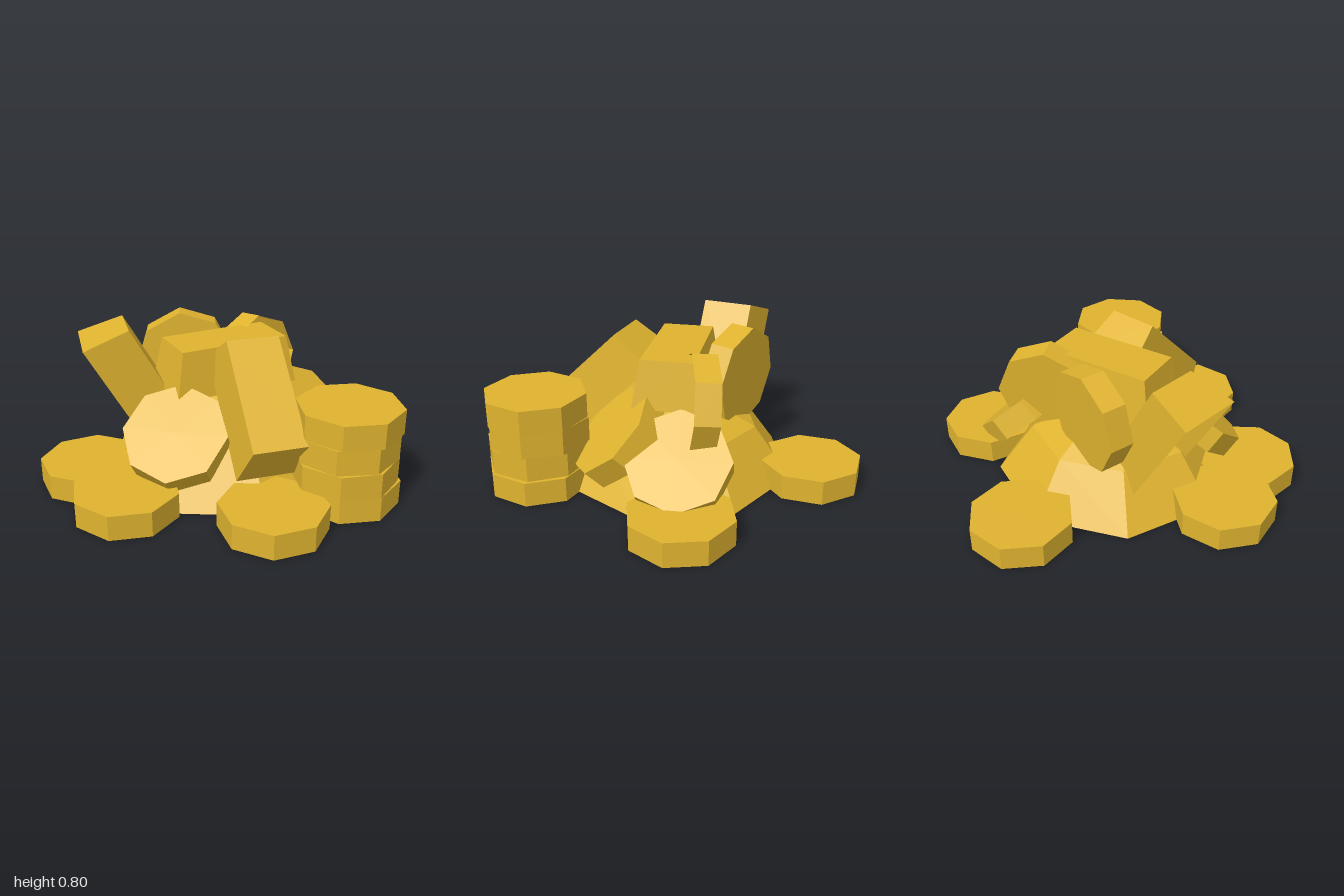
import * as THREE from 'three';

export function createModel() {
  const model = new THREE.Group();
  const gold = new THREE.MeshStandardMaterial({ color: 0xdfb32f, flatShading: true, side: THREE.DoubleSide });
  gold.name = 'gold';
  const UP = new THREE.Vector3(0, 1, 0);

  const add = (name, geometry, x, y, z) => {
    const mesh = new THREE.Mesh(geometry, gold);
    mesh.name = name;
    mesh.position.set(x, y, z);
    model.add(mesh);
    return mesh;
  };
  const lathe = (points) => new THREE.LatheGeometry(points.map(([r, y]) => new THREE.Vector2(r, y)), 8);

  // Eight-sided coin, open below; normal is the direction its face looks, spin turns it in its own plane
  const coinGeometry = lathe([[0.27, -0.065], [0.27, 0.065], [0, 0.065]]);
  const coin = (name, [x, y, z], spin, normal = [0, 1, 0]) => {
    const mesh = add(name, coinGeometry, x, y, z);
    mesh.quaternion.setFromUnitVectors(UP, new THREE.Vector3(...normal).normalize());
    mesh.rotateY(spin);
  };

  // Ingot: a box with a shrunken top face and no bottom face; its base is at y = 0
  const ingotGeometry = new THREE.BoxGeometry(0.69, 0.25, 0.35).translate(0, 0.125, 0);
  const p = ingotGeometry.attributes.position;
  for (let i = 0; i < p.count; i++) {
    if (p.getY(i) > 0.1) {
      p.setX(i, Math.sign(p.getX(i)) * 0.3);
      p.setZ(i, Math.sign(p.getZ(i)) * 0.138);
    }
  }
  ingotGeometry.setIndex(Array.from(ingotGeometry.index.array).filter((_, i) => i < 18 || i >= 24));
  ingotGeometry.clearGroups();
  ingotGeometry.computeVertexNormals();
  // along = direction of the length, top = direction of the narrow face
  const ingot = (name, [x, y, z], along, top, yaw) => {
    const a = new THREE.Vector3(...along).normalize();
    const n = new THREE.Vector3(...top).normalize();
    const mesh = add(name, ingotGeometry, x, y, z);
    mesh.quaternion.setFromRotationMatrix(new THREE.Matrix4().makeBasis(a, n, a.clone().cross(n)));
    mesh.rotateOnWorldAxis(UP, yaw);
  };

  // Faceted mound, open below
  add('mound', lathe([[0.65, 0], [0.45, 0.27], [0, 0.49]]), 0, 0, 0);

  // Loose coins lying flat around the mound
  [
    [-0.01, -0.755, Math.PI / 8], [-0.01, 0.75, Math.PI / 8], [0.72, -0.26, 0],
    [-0.73, 0, 0.486], [-0.635, 0.37, 0.236],
  ].forEach(([x, z, spin], i) => coin('flatCoin' + (i + 1), [x, 0.065, z], spin));

  // Stack of four coins
  [[0.45, 0.61, 0.19], [0.43, 0.615, 0.24], [0.435, 0.605, 0.14], [0.445, 0.61, 0.183]]
    .forEach(([x, z, spin], i) => coin('stackCoin' + (i + 1), [x, 0.065 + i * 0.13, z], spin));

  // Coins leaning on the mound
  coin('leaningCoinFrontRight', [-0.34, 0.31, 0.275], 0.25, [-0.33, 0.76, 0.55]);
  coin('leaningCoinFrontLeft', [0.385, 0.3, 0.18], Math.PI / 8, [0.37, 0.71, 0.6]);
  coin('leaningCoinSide', [0.5, 0.25, -0.18], 0.2, [0.66, 0.74, -0.12]);

  // Coins standing on edge at the back, faces outward
  coin('uprightCoinBack', [-0.11, 0.515, -0.315], Math.PI / 8, [0.29, -0.04, -0.96]);
  coin('uprightCoinSide', [0.27, 0.48, -0.22], Math.PI / 8, [-0.4, -0.08, -0.92]);

  // Ingots: one across the top, one sliding down the front, one sticking up at the side
  ingot('topIngot', [0.02, 0.46, -0.025], [1, 0, 0], [0, 1, 0], 0.115);
  ingot('frontIngot', [0.07, 0.395, 0.295], [0, -0.69, 0.72], [0, 0.72, 0.69], -0.05);
  ingot('sideIngot', [-0.55, 0.415, -0.17], [-0.49, 0.87, 0], [0.87, 0.49, 0], -0.1);

  return model;
}
